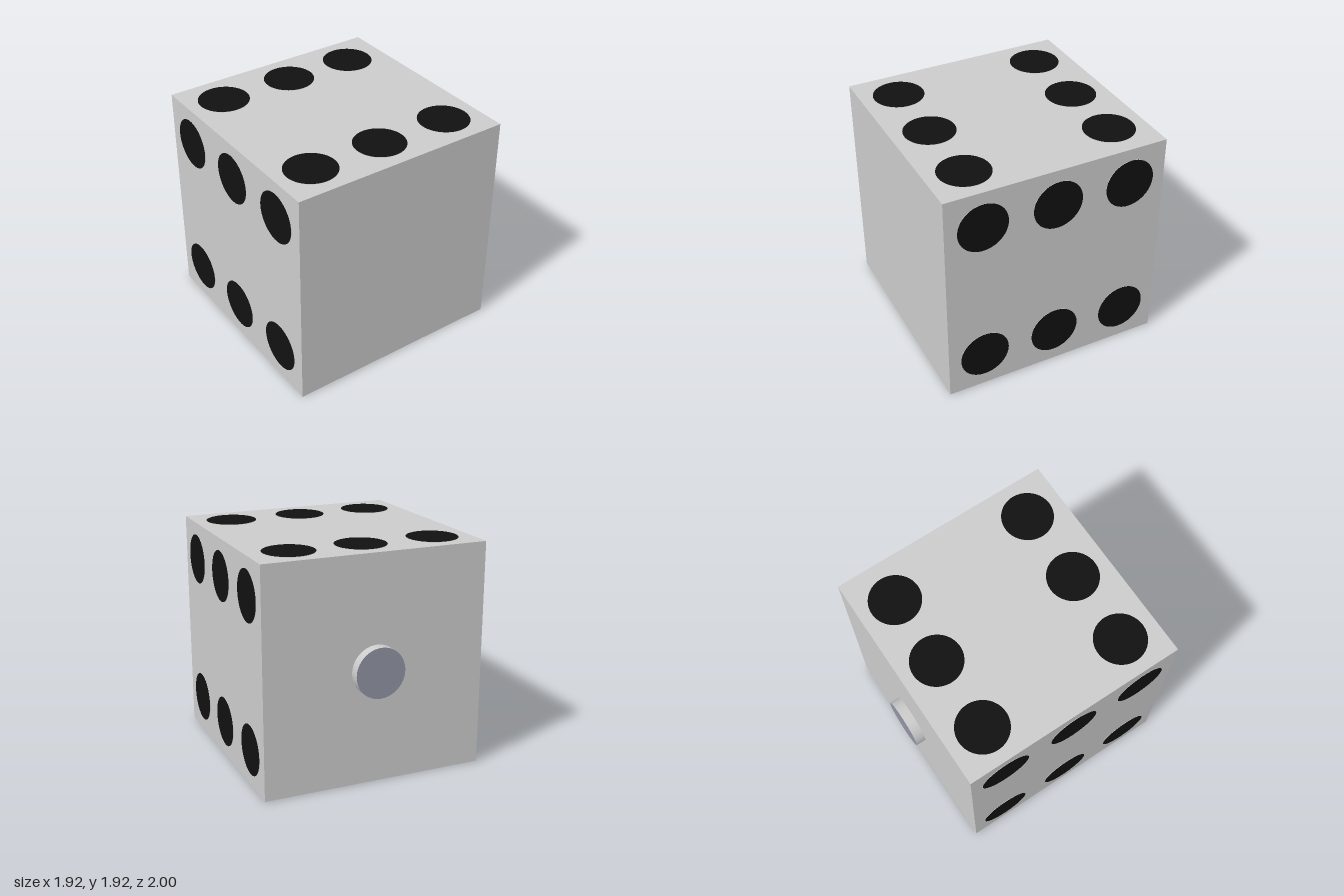
import * as THREE from 'three';

const W = 1.915;          // cube edge
const H = W / 2;
const ZC = 0.0425;        // cube centre in z (the knob fills the rest of the depth)
const DOT_R = 0.214;
const LIFT = 0.003;       // how far a dot stands proud of its face

export function createModel() {
  const model = new THREE.Group();
  model.name = 'die';

  const grey = new THREE.MeshStandardMaterial({ color: 0xcccccc });
  const black = new THREE.MeshStandardMaterial({ color: 0x111111 });
  const blueGrey = new THREE.MeshStandardMaterial({ color: 0x9094a2 });

  // Body
  const body = new THREE.Mesh(new THREE.BoxGeometry(W, W, W), grey);
  body.name = 'body';
  body.position.set(0, H, ZC);
  model.add(body);

  // Dots: thin discs, grey rim and black faces, six on each of four sides
  const dotGeometry = new THREE.CylinderGeometry(DOT_R, DOT_R, LIFT * 2, 64);
  const zRows = [-0.6, 0.68];

  function addFace(name, turn, rows) {
    const face = new THREE.Group();
    face.name = name;
    for (const [x, z] of rows) {
      const dot = new THREE.Mesh(dotGeometry, [grey, black, black]);
      dot.name = 'dot';
      dot.position.set(x, H, z);
      face.add(dot);
    }
    face.rotation.z = turn;
    face.position.y = H;
    model.add(face);
  }

  // Top and bottom carry two rows across, the sides two rows along the depth
  const across = zRows.flatMap((z) => [-0.64, 0, z < 0 ? 0.61 : 0.64].map((x) => [x, z]));
  const along = [-0.64, 0.64].flatMap((x) => [-0.6, 0.04, 0.68].map((z) => [x, z]));
  addFace('topDots', 0, across);
  addFace('bottomDots', Math.PI, across);
  addFace('leftDots', -Math.PI / 2, along);
  addFace('rightDots', Math.PI / 2, along);

  // Knob on the back
  const knobDepth = 0.085;
  const knob = new THREE.Mesh(
    new THREE.CylinderGeometry(0.212, 0.212, knobDepth, 64),
    [grey, blueGrey, blueGrey]
  );
  knob.name = 'backKnob';
  knob.rotation.x = -Math.PI / 2;
  knob.position.set(0, 0.96, -1 + knobDepth / 2);
  model.add(knob);

  return model;
}
